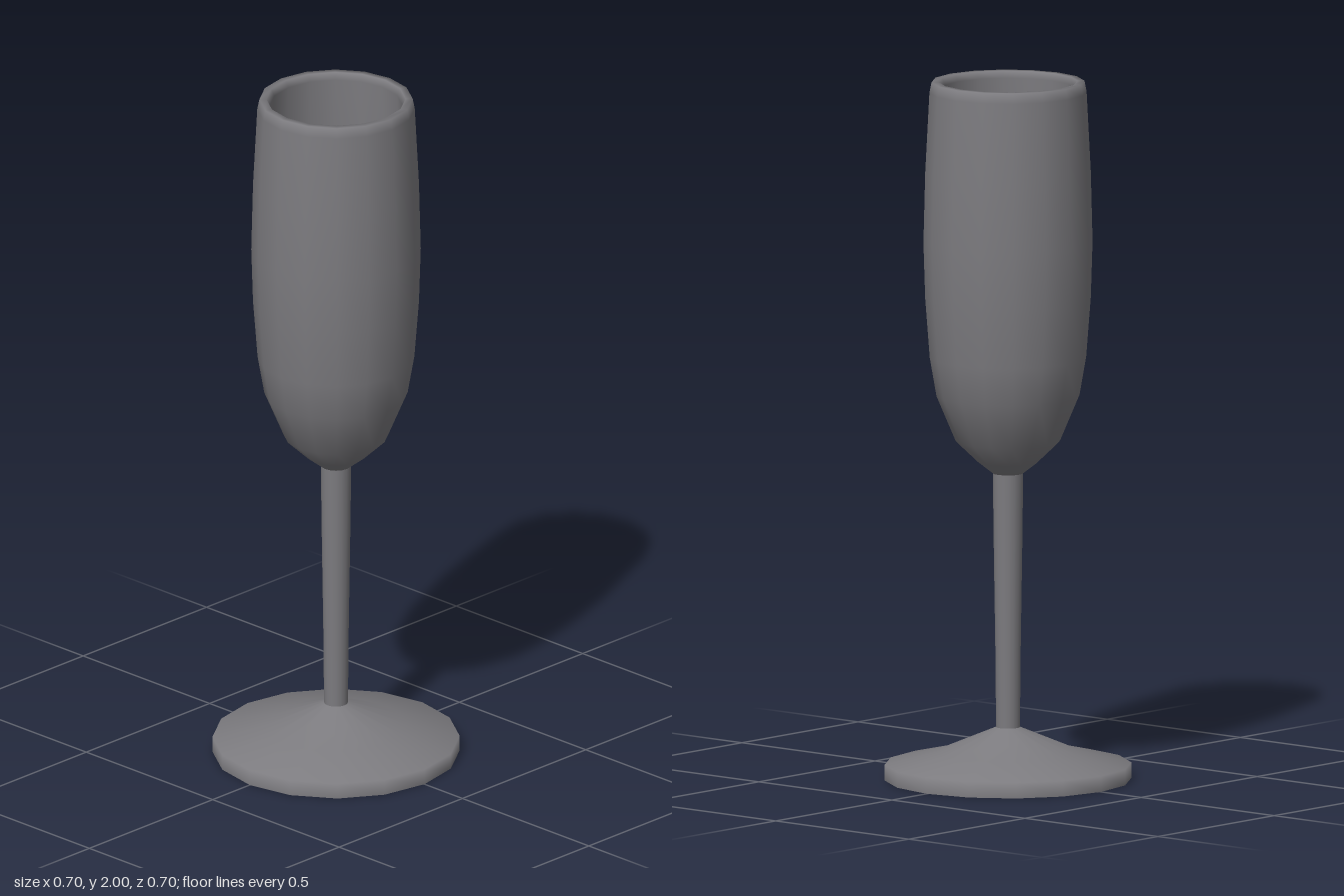
import * as THREE from 'three';

const SIDES = 16;

// Revolve a profile of [radius, height] pairs, listed bottom to top on the outside
function revolve(name, profile, material) {
  const points = profile.map(([r, y]) => new THREE.Vector2(r, y));
  const mesh = new THREE.Mesh(new THREE.LatheGeometry(points, SIDES), material);
  mesh.name = name;
  return mesh;
}

export function createModel() {
  const glass = new THREE.MeshStandardMaterial({ color: 0x7c7b7f });
  glass.name = 'smoky glass';
  const pale = new THREE.MeshStandardMaterial({ color: 0xe6e6e6 });
  pale.name = 'pale liquid';

  const model = new THREE.Group();
  model.name = 'champagneFlute';

  // Foot: flat underside, short rim and a sloping top
  model.add(revolve('footUnderside', [[0, 0], [0.35, 0]], glass));
  model.add(revolve('foot', [[0.35, 0], [0.35, 0.045], [0.2, 0.08], [0.034, 0.15]], glass));

  // Stem: widens slightly towards the bowl
  model.add(revolve('stem', [[0.034, 0.15], [0.036, 0.37], [0.041, 0.7], [0.043, 0.88]], glass));

  // Bowl: outer wall, rounded rim, then the inner wall down to the bottom
  model.add(revolve('bowl', [
    [0.04, 0.875], [0.085, 0.91], [0.148, 0.97], [0.203, 1.1], [0.222, 1.21],
    [0.235, 1.38], [0.24, 1.54], [0.235, 1.74], [0.223, 1.97], [0.217, 2],
    [0.197, 2], [0.188, 1.98], [0.2, 1.74], [0.207, 1.54], [0.201, 1.38],
    [0.188, 1.21], [0.17, 1.11], [0.12, 1], [0.06, 0.94], [0, 0.92],
  ], glass));

  // Liquid filling the bowl, its surface softly rounded to the wall
  model.add(revolve('liquid', [
    [0, 0.93], [0.058, 0.95], [0.115, 1.01], [0.165, 1.12], [0.183, 1.21],
    [0.196, 1.38], [0.202, 1.54], [0.2, 1.6], [0, 1.6],
  ], pale));

  return model;
}
